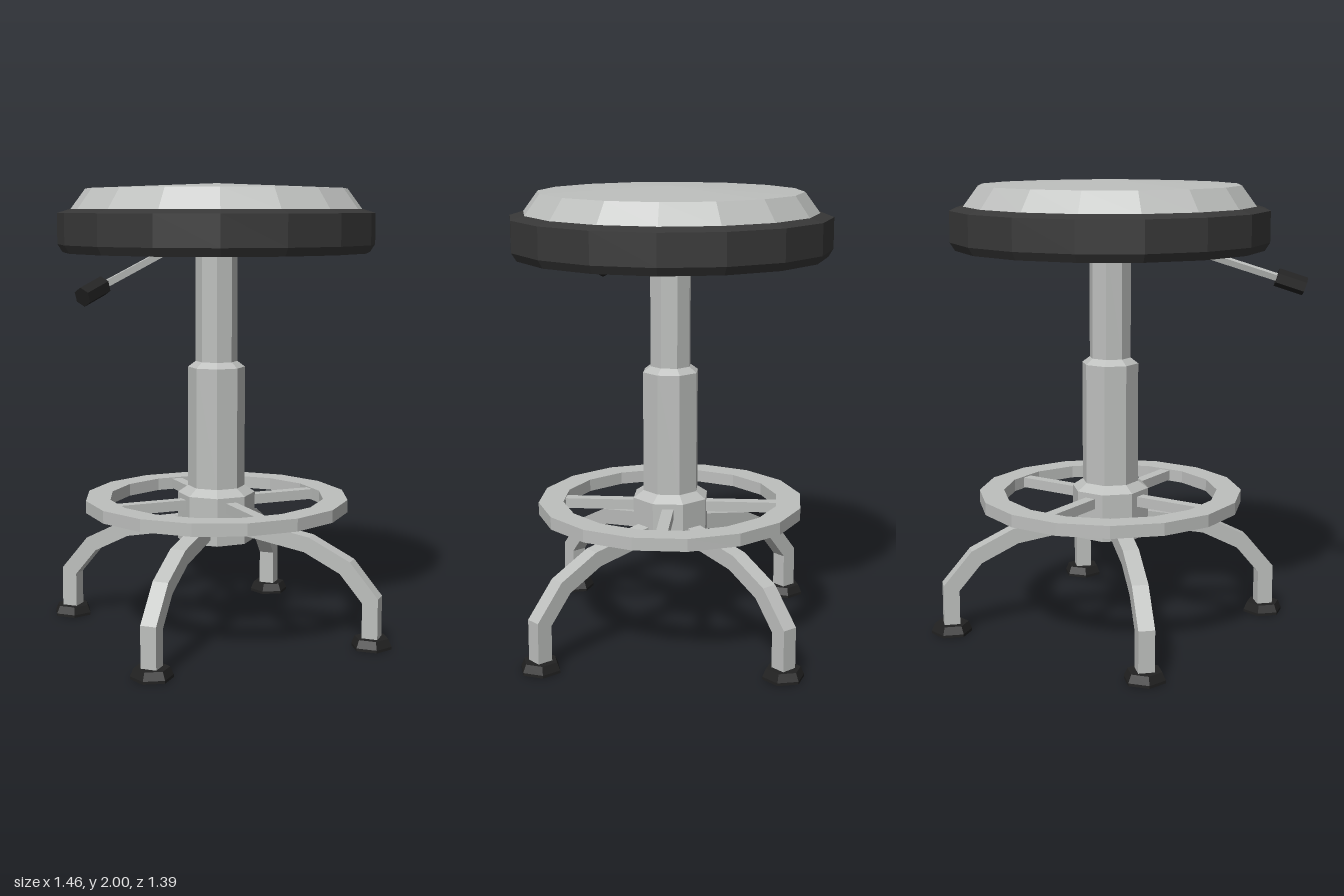
import * as THREE from 'three';

const grey = new THREE.MeshStandardMaterial({ color: 0xbdbfbd });
grey.name = 'light grey';
const charcoal = new THREE.MeshStandardMaterial({ color: 0x383838 });
charcoal.name = 'charcoal';
const black = new THREE.MeshStandardMaterial({ color: 0x222222 });
black.name = 'black rubber';

// Faceted mesh: every face gets its own normal
function part(name, geometry, material) {
  const g = geometry.index ? geometry.toNonIndexed() : geometry;
  g.computeVertexNormals();
  const mesh = new THREE.Mesh(g, material);
  mesh.name = name;
  return mesh;
}

// Turned part from [radius, height] points
function lathe(points, sides, halfStep = false) {
  const start = halfStep ? Math.PI / sides : 0;
  return new THREE.LatheGeometry(points.map(([r, y]) => new THREE.Vector2(r, y)), sides, start);
}

// Square tube swept along [distance, height] points in the z-y plane, with mitred bends
function squareTube(path, h) {
  const pts = path.map(([r, y]) => new THREE.Vector2(r, y));
  const dirs = pts.slice(1).map((p, i) => p.clone().sub(pts[i]).normalize());
  const pos = [], idx = [];
  pts.forEach((p, i) => {
    const a = dirs[Math.max(i - 1, 0)], b = dirs[Math.min(i, dirs.length - 1)];
    const t = a.clone().add(b).normalize();
    const k = h / t.dot(a);
    for (const [sx, sn] of [[1, 1], [-1, 1], [-1, -1], [1, -1]]) {
      pos.push(sx * h, p.y + sn * k * t.x, p.x - sn * k * t.y);
    }
  });
  for (let i = 0; i < pts.length - 1; i++) {
    for (let j = 0; j < 4; j++) {
      const a = i * 4 + j, b = i * 4 + (j + 1) % 4;
      idx.push(a, b, a + 4, a + 4, b, b + 4);
    }
  }
  const e = (pts.length - 1) * 4;
  idx.push(0, 2, 1, 0, 3, 2, e, e + 1, e + 2, e, e + 2, e + 3);
  const g = new THREE.BufferGeometry();
  g.setAttribute('position', new THREE.Float32BufferAttribute(pos, 3));
  g.setIndex(idx);
  return g;
}

// Straight rod between two points
function rod(name, from, to, radius, sides, material) {
  const dir = to.clone().sub(from);
  const mesh = part(name, new THREE.CylinderGeometry(radius, radius, dir.length(), sides), material);
  mesh.position.copy(from).add(to).multiplyScalar(0.5);
  mesh.quaternion.setFromUnitVectors(new THREE.Vector3(0, 1, 0), dir.normalize());
  return mesh;
}

export function createModel() {
  const model = new THREE.Group();
  model.name = 'stool';
  const stool = new THREE.Group();
  stool.name = 'stoolBody';
  stool.position.x = 0.03;
  model.add(stool);

  // Seat: dark rim with a shallow domed cushion
  stool.add(part('seatRim', lathe(
    [[0, 1.703], [0.672, 1.703], [0.694, 1.738], [0.694, 1.872], [0.638, 1.889], [0, 1.889]], 16), charcoal));
  stool.add(part('seatCushion', lathe(
    [[0.638, 1.885], [0.57, 1.977], [0, 2]], 16), grey));

  // Stepped octagonal column with hub at the bottom
  stool.add(part('column', lathe(
    [[0, 0.425], [0.172, 0.425], [0.172, 0.637], [0.126, 0.668], [0.126, 1.2],
      [0.092, 1.225], [0.092, 1.72]], 8, true), grey));

  // Foot ring and its spokes
  stool.add(part('footRing', lathe(
    [[0.478, 0.565], [0.587, 0.565], [0.587, 0.62], [0.478, 0.62], [0.478, 0.565]], 16, true), grey));
  for (let i = 0; i < 4; i++) {
    const spoke = part('spoke', new THREE.BoxGeometry(0.05, 0.045, 0.38).translate(0, 0.5925, 0.31), grey);
    spoke.rotation.y = i * Math.PI / 2;
    stool.add(spoke);
  }

  // Four bent legs with rubber feet
  for (let i = 0; i < 4; i++) {
    const leg = new THREE.Group();
    leg.name = 'leg';
    leg.rotation.y = Math.PI / 4 + i * Math.PI / 2;
    leg.add(part('legTube', squareTube(
      [[0.1, 0.498], [0.435, 0.438], [0.61, 0.35], [0.724, 0.213], [0.724, 0.03]], 0.035), grey));
    const foot = part('foot', lathe([[0, 0], [0.09, 0], [0.09, 0.012], [0.075, 0.046], [0, 0.046]], 6), black);
    foot.position.z = 0.724;
    leg.add(foot);
    stool.add(leg);
  }

  // Height lever under the seat
  const tip = new THREE.Vector3(-0.718, 1.546, 0.392);
  const grip = new THREE.Vector3(-0.612, 1.586, 0.331);
  model.add(rod('leverRod', new THREE.Vector3(-0.2, 1.735, 0.1), grip, 0.019, 4, grey));
  model.add(rod('leverGrip', grip, tip, 0.04, 6, black));
  return model;
}
